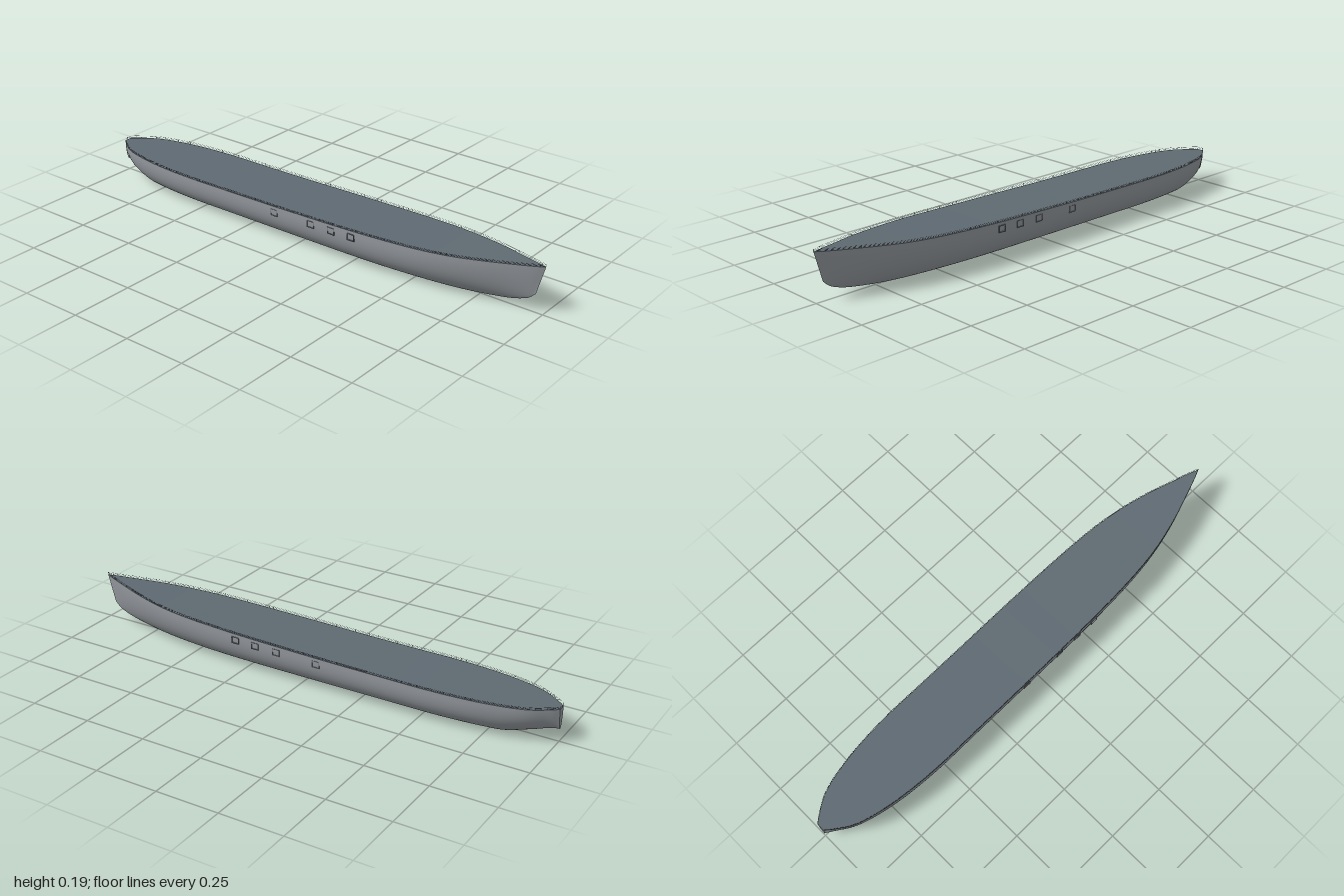
import * as THREE from 'three';
import { mergeGeometries } from 'three/addons/utils/BufferGeometryUtils.js';

// z, half width at deck, deck height, keel height, section fullness, stem rake
const STATIONS = [
  [-1.0, 0.015, 0.134, 0.050, 2.0, 0],
  [-0.97, 0.040, 0.134, 0.047, 2.0, 0],
  [-0.90, 0.083, 0.135, 0.027, 2.1, 0],
  [-0.80, 0.111, 0.136, 0.001, 2.2, 0],
  [-0.68, 0.129, 0.137, 0, 2.4, 0],
  [-0.53, 0.138, 0.138, 0, 2.5, 0],
  [-0.35, 0.138, 0.139, 0, 2.5, 0],
  [-0.15, 0.138, 0.141, 0, 2.5, 0],
  [0.05, 0.138, 0.145, 0, 2.5, 0],
  [0.25, 0.136, 0.149, 0, 2.5, 0],
  [0.42, 0.131, 0.154, 0, 2.4, 0],
  [0.56, 0.121, 0.159, 0, 2.2, 0],
  [0.68, 0.102, 0.164, 0.002, 2.0, 0],
  [0.79, 0.074, 0.171, 0.011, 1.9, 0.004],
  [0.89, 0.041, 0.177, 0.025, 1.8, 0.013],
  [0.96, 0.017, 0.182, 0.045, 1.7, 0.024],
  [1.0, 0.0005, 0.185, 0.070, 1.6, 0.032],
];
const ROWS = 112, COLS = 40;

const curve = (pick) => new THREE.CatmullRomCurve3(
  STATIONS.map((s) => new THREE.Vector3(...pick(s))), false, 'catmullrom', 0.5);
const edgeCurve = curve((s) => [s[1], s[2], s[0]]);
const formCurve = curve((s) => [s[3], s[4], s[5]]);

function buildGeometry(positions, index) {
  const g = new THREE.BufferGeometry();
  g.setAttribute('position', new THREE.Float32BufferAttribute(positions, 3));
  g.setIndex(index);
  g.computeVertexNormals();
  return g;
}

// One cross-section, from the left deck edge under the keel to the right
function section(u) {
  const edge = edgeCurve.getPoint(u), form = formCurve.getPoint(u);
  const keel = Math.max(0, form.x), rake = Math.max(0, form.z);
  const points = [];
  for (let j = 0; j <= COLS; j++) {
    const a = (0.5 - j / COLS) * Math.PI;
    const drop = Math.pow(Math.max(0, Math.cos(a)), 2 / form.y);
    const x = Math.sign(a) * edge.x * Math.pow(Math.abs(Math.sin(a)), 2 / form.y);
    points.push(new THREE.Vector3(x, edge.y - (edge.y - keel) * drop, edge.z - rake * drop));
  }
  return points;
}

function hullGeometry() {
  const pos = [], idx = [], n = COLS + 1;
  for (let i = 0; i <= ROWS; i++) {
    for (const p of section(i / ROWS)) pos.push(p.x, p.y, p.z);
    if (i === ROWS) break;
    for (let j = 0; j < COLS; j++) {
      const a = i * n + j, b = a + n;
      idx.push(a, b, a + 1, b, b + 1, a + 1);
    }
  }
  return buildGeometry(pos, idx);
}

function transomGeometry() {
  const pos = [], idx = [];
  for (const p of section(0)) pos.push(p.x, p.y, p.z);
  for (let j = 1; j < COLS; j++) idx.push(0, j, j + 1);
  return buildGeometry(pos, idx);
}

function deckGeometry() {
  const pos = [], idx = [];
  for (let i = 0; i <= ROWS; i++) {
    const e = edgeCurve.getPoint(i / ROWS);
    pos.push(-e.x, e.y, e.z, e.x, e.y, e.z);
    if (i < ROWS) {
      const a = i * 2;
      idx.push(a, a + 2, a + 1, a + 2, a + 3, a + 1);
    }
  }
  return buildGeometry(pos, idx);
}

// Rail wires and posts that follow the deck edge on both sides and the stern
function railGeometry() {
  const parts = [], height = 0.0095, left = [];
  for (let i = 0; i <= 60; i++) left.push(edgeCurve.getPoint(1 - i / 60));
  const right = left.map((p) => new THREE.Vector3(-p.x, p.y, p.z)).reverse();
  const path = new THREE.CatmullRomCurve3([...left, ...right]);
  for (let k = 1; k <= 3; k++) {
    const wire = new THREE.TubeGeometry(path, 260, 0.0003, 3, false);
    wire.translate(0, height * k / 3, 0);
    parts.push(wire);
  }
  for (const p of path.getSpacedPoints(200)) {
    const post = new THREE.CylinderGeometry(0.0003, 0.0003, height, 3);
    post.translate(p.x, p.y + height / 2, p.z);
    parts.push(post);
  }
  return mergeGeometries(parts);
}

// Square frame of four bars round a side port
function portFrame() {
  const w = 0.032, h = 0.027, bar = 0.002, depth = 0.007, parts = [];
  for (const s of [-1, 1]) {
    parts.push(new THREE.BoxGeometry(depth, bar, w).translate(0, s * (h - bar) / 2, 0));
    parts.push(new THREE.BoxGeometry(depth, h, bar).translate(0, 0, s * (w - bar) / 2));
  }
  return mergeGeometries(parts);
}

export function createModel() {
  const material = (name, color) => {
    const m = new THREE.MeshStandardMaterial({ color });
    m.name = name;
    return m;
  };
  const hullGrey = material('hullGrey', 0x969ba0);
  const deckGrey = material('deckGrey', 0x5f6a72);
  const fittingGrey = material('fittingGrey', 0x6c7176);

  const ship = new THREE.Group();
  ship.name = 'shipHull';
  const add = (name, geometry, mat) => {
    const mesh = new THREE.Mesh(geometry, mat);
    mesh.name = name;
    ship.add(mesh);
    return mesh;
  };
  add('hull', hullGeometry(), hullGrey);
  add('transom', transomGeometry(), hullGrey);
  add('deck', deckGeometry(), deckGrey);
  add('railing', railGeometry(), fittingGrey);

  // Four framed ports on each side
  const frame = portFrame();
  for (const [z, y] of [[0.275, 0.124], [0.185, 0.122], [0.09, 0.12], [-0.085, 0.116]]) {
    for (const side of [-1, 1]) {
      add(side > 0 ? 'leftPortFrame' : 'rightPortFrame', frame, fittingGrey)
        .position.set(side * 0.1355, y, z);
    }
  }
  return ship;
}
